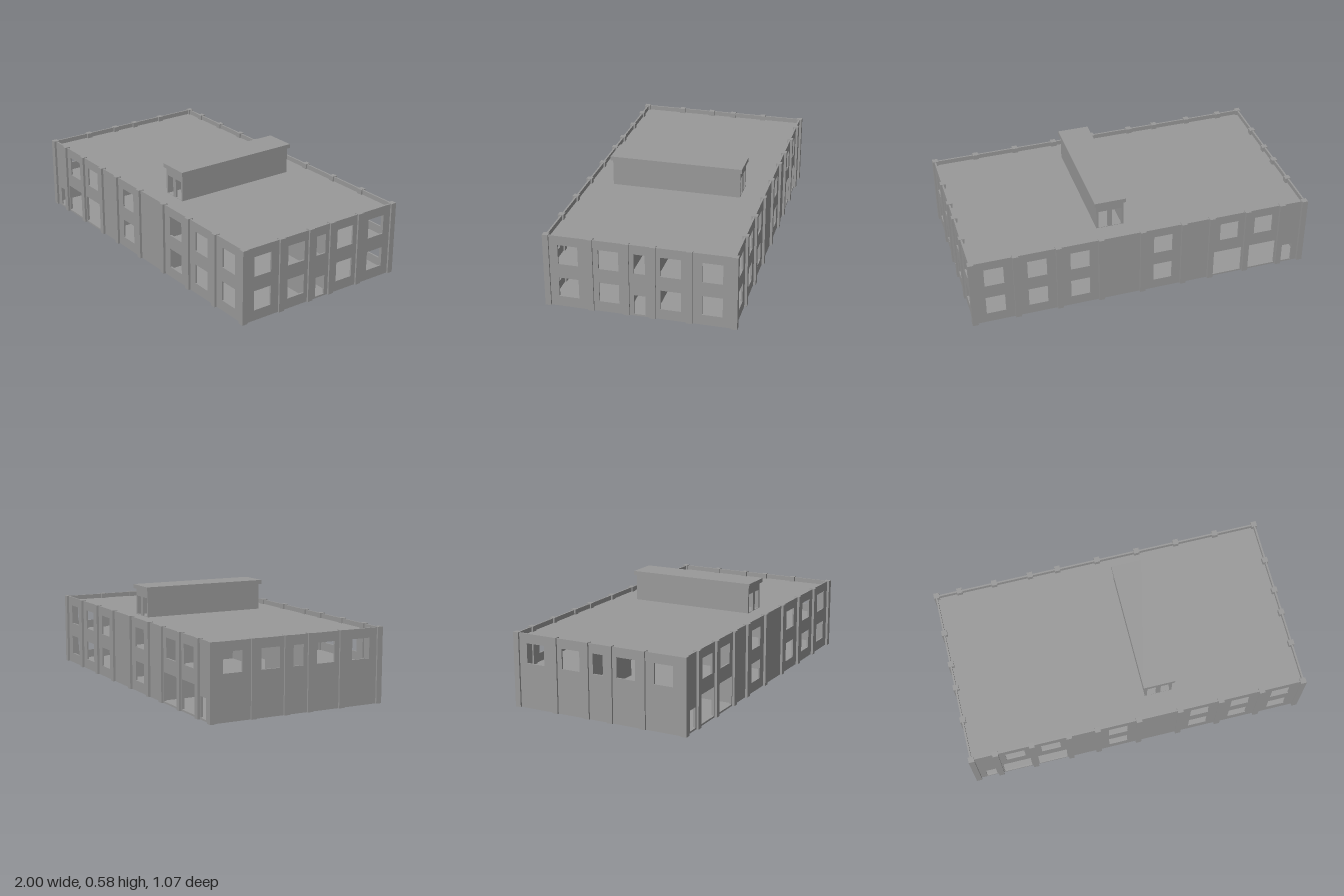
import * as THREE from 'three';

export function createModel() {
  const model = new THREE.Group();
  model.name = 'building';
  const plaster = new THREE.MeshStandardMaterial({ color: 0x999999 });
  plaster.name = 'grey plaster';

  const add = (name, geometry, x = 0, y = 0, z = 0, parent = model) => {
    const mesh = new THREE.Mesh(geometry, plaster);
    mesh.name = name;
    mesh.position.set(x, y, z);
    parent.add(mesh);
    return mesh;
  };

  // Box given by its limits
  const block = (name, x0, x1, y0, y1, z0, z1, parent = model) =>
    add(name, new THREE.BoxGeometry(x1 - x0, y1 - y0, z1 - z0),
      (x0 + x1) / 2, (y0 + y1) / 2, (z0 + z1) / 2, parent);

  // Upright wall along x or z with rectangular openings [u0, u1, y0, y1]
  const wall = (name, axis, at, u0, u1, y0, y1, holes = [], parent = model, t = 0.01) => {
    const rect = (P, a, b, c, d) => {
      const p = new P();
      p.moveTo(a, c);
      p.lineTo(b, c);
      p.lineTo(b, d);
      p.lineTo(a, d);
      p.closePath();
      return p;
    };
    const shape = rect(THREE.Shape, u0, u1, y0, y1);
    for (const h of holes) shape.holes.push(rect(THREE.Path, ...h));
    const geo = new THREE.ExtrudeGeometry(shape, { depth: t, bevelEnabled: false });
    geo.translate(0, 0, -t / 2);
    if (axis === 'z') geo.rotateY(-Math.PI / 2);
    return add(name, geo, axis === 'z' ? at : 0, 0, axis === 'x' ? at : 0, parent);
  };

  const X = 0.985, Z = 0.515, TOP = 0.425;
  const upper = (u, w = 0.112) => [u - w / 2, u + w / 2, 0.257, 0.371];
  const lower = (u, w = 0.112) => [u - w / 2, u + w / 2, 0.06, 0.174];
  const door = (u, y = 0.01) => [u - 0.031, u + 0.031, y, y + 0.115];

  // Slabs
  block('groundSlab', -X, X, 0, 0.01, -Z, Z);
  block('upperFloor', -X, X, 0.198, 0.208, -Z, Z);
  block('roofSlab', -X, X, 0.388, 0.398, -Z, Z);

  // Long facades, equal at the front and the back
  const facade = [
    door(-0.9), [-0.822, -0.655, 0.01, 0.174], [-0.61, -0.437, 0.01, 0.174],
    upper(-0.735), upper(-0.524),
  ];
  for (const u of [-0.123, 0.367, 0.613, 0.858]) facade.push(upper(u), lower(u));
  wall('frontWall', 'x', Z, -X, X, 0, TOP, facade);
  wall('backWall', 'x', -Z, -X, X, 0, TOP, facade);

  // End walls
  const sideCentres = [-0.397, -0.171, 0.171, 0.397];
  const upperEnd = [...sideCentres.map((u) => upper(u)), upper(0, 0.062)];
  const lowerEnd = [...sideCentres.map((u) => lower(u)), door(0)];
  wall('leftEndWall', 'z', X, -Z, Z, 0, TOP, [...upperEnd, ...lowerEnd]);
  wall('rightEndWall', 'z', -X, -Z, Z, 0, TOP, upperEnd);

  // Pilasters
  const pilasters = new THREE.Group();
  pilasters.name = 'pilasters';
  model.add(pilasters);
  const pilaster = (x, z) => block('pilaster', x - 0.0165, x + 0.0165, 0, 0.428, z - 0.0165, z + 0.0165, pilasters);
  for (const s of [-1, 1]) {
    for (const x of [-0.9835, -0.845, -0.633, -0.414, -0.245, 0, 0.245, 0.49, 0.735, 0.9835]) pilaster(x, s * 0.5175);
    for (const z of [-0.273, -0.073, 0.073, 0.273]) pilaster(s * 0.9835, z);
  }

  // Interior partitions along and across the corridor
  const inside = new THREE.Group();
  inside.name = 'interiorWalls';
  model.add(inside);
  const passage = [[-0.066, 0.066, 0.01, 0.197], [-0.066, 0.066, 0.209, 0.387]];
  for (const z of [-0.073, 0.073]) {
    wall('corridorWall', 'x', z, 0.245, X, 0.005, 0.39, [door(0.613), door(0.613, 0.208)], inside);
    wall('corridorWall', 'x', z, -X, -0.414, 0.005, 0.39,
      [door(-0.78), [-0.73, -0.668, 0.05, 0.125], door(-0.745, 0.208)], inside);
  }
  wall('serviceWall', 'x', 0, -X, -0.414, 0.005, 0.2, [], inside);
  for (const x of [-0.414, 0.245]) wall('crossWall', 'z', x, -Z, Z, 0.005, 0.39, passage, inside);

  // Long roof house with twin openings at each end
  const house = new THREE.Group();
  house.name = 'roofHouse';
  model.add(house);
  for (const x of [0.075, 0.225]) wall('roofHouseSide', 'z', x, -0.377, 0.377, 0.39, 0.555, [], house);
  for (const z of [-0.372, 0.372]) {
    wall('roofHouseEnd', 'x', z, 0.07, 0.23, 0.39, 0.555,
      [[0.083, 0.137, 0.4, 0.51], [0.163, 0.217, 0.4, 0.51]], house);
  }
  block('roofHouseCap', 0.058, 0.242, 0.553, 0.577, -0.388, 0.388, house);

  return model;
}
